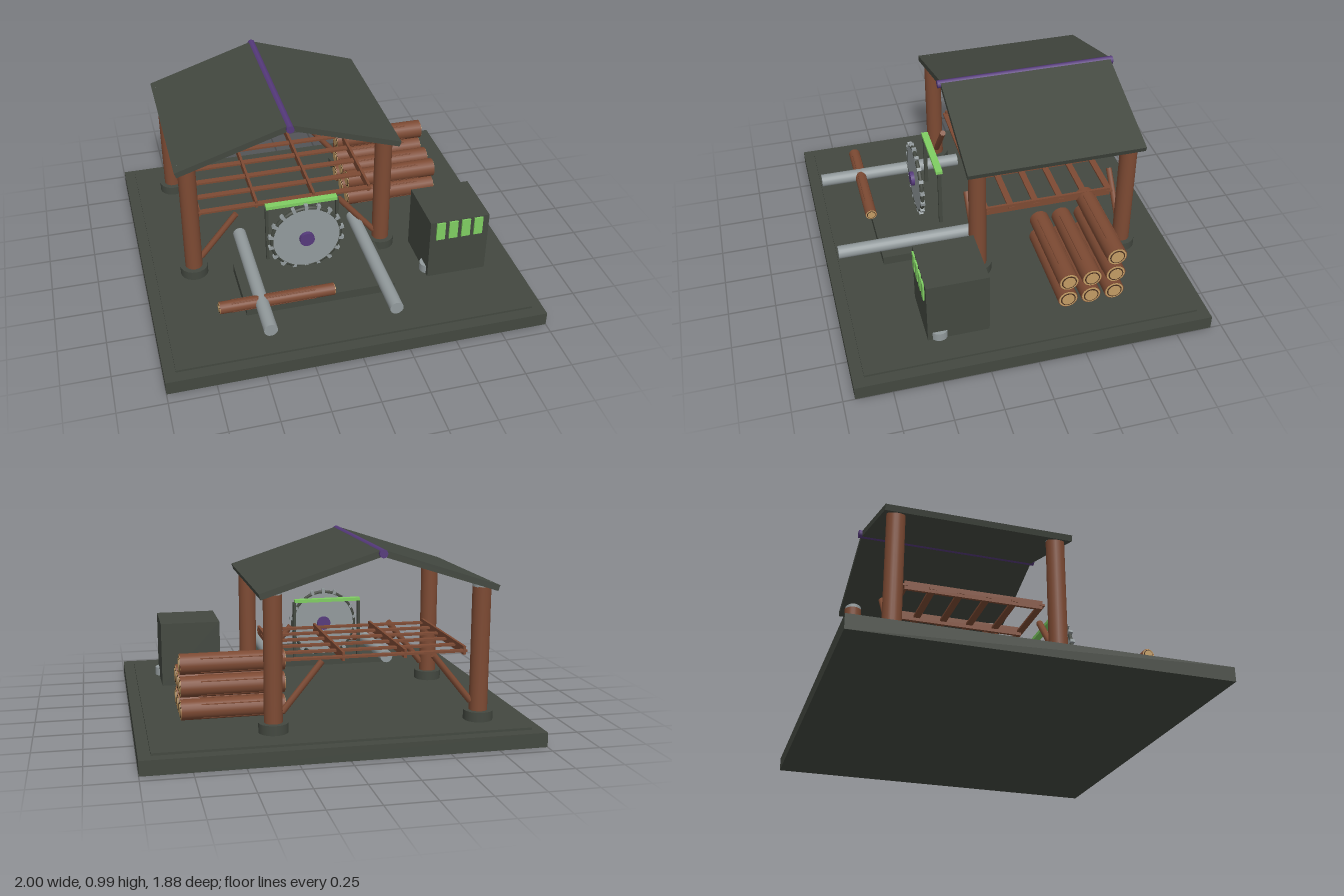
import * as THREE from 'three';

export function createModel() {
  const root = new THREE.Group();
  const mat = (name, color) => {
    const m = new THREE.MeshStandardMaterial({ color });
    m.name = name;
    return m;
  };
  const slate = mat('slate', 0x434840), timber = mat('timber', 0x7d4a33), steel = mat('steel', 0x929a9c);
  const green = mat('green', 0x7fce62), purple = mat('purple', 0x563a7c), cutWood = mat('cut wood', 0xc29c64);
  const bark = mat('bark', 0x4a3020);

  const add = (name, geo, material, x, y, z, parent = root) => {
    const m = new THREE.Mesh(geo, material);
    m.name = name;
    m.position.set(x, y, z);
    parent.add(m);
    return m;
  };
  // box from its lower and upper corners
  const box = (name, material, [x0, y0, z0], [x1, y1, z1], parent) =>
    add(name, new THREE.BoxGeometry(x1 - x0, y1 - y0, z1 - z0), material,
      (x0 + x1) / 2, (y0 + y1) / 2, (z0 + z1) / 2, parent);
  // round bar between two points
  const rod = (name, material, a, b, r, sides = 16, parent = root) => {
    const p = new THREE.Vector3(...a), q = new THREE.Vector3(...b);
    const d = q.clone().sub(p);
    const m = add(name, new THREE.CylinderGeometry(r, r, d.length(), sides), material, 0, 0, 0, parent);
    m.position.copy(p).add(q).multiplyScalar(0.5);
    m.quaternion.setFromUnitVectors(new THREE.Vector3(0, 1, 0), d.normalize());
    return m;
  };

  // Stepped ground slab
  box('slab', slate, [-1, 0, -0.94], [1, 0.075, 0.94]);
  box('slabTop', slate, [-0.94, 0.075, -0.88], [0.94, 0.087, 0.88]);

  // Four posts with footings, caps and braces leaning inward
  for (const [x, s] of [[-0.73, 1], [0.33, -1]]) {
    for (const z of [0.148, -0.678]) {
      rod('footing', slate, [x, 0.087, z], [x, 0.137, z], 0.075, 20);
      rod('post', timber, [x, 0.137, z], [x, 0.776, z], 0.047, 20);
      rod('postCap', steel, [x, 0.774, z], [x, 0.795, z], 0.047, 20);
      rod('brace', timber, [x + s * 0.045, 0.185, z], [x + s * 0.245, 0.432, z], 0.017, 8);
    }
  }

  // Gabled roof and ridge bar
  const gable = new THREE.Shape([[-0.8, 0.787], [-0.79, 0.758], [-0.197, 0.948], [0.397, 0.758],
    [0.407, 0.787], [-0.197, 0.982]].map(p => new THREE.Vector2(...p)));
  add('roof', new THREE.ExtrudeGeometry(gable, { depth: 0.96, bevelEnabled: false }), slate, 0, 0, -0.745);
  rod('ridgeBar', purple, [-0.197, 0.963, -0.762], [-0.197, 0.963, 0.232], 0.022, 8);

  // Open rack between the posts: rails pierced by flat slats
  for (const x of [-0.675, -0.36, -0.04, 0.275])
    box('rackRail', timber, [x - 0.007, 0.408, -0.612], [x + 0.007, 0.453, 0.09]);
  for (let i = 0; i < 6; i++) {
    const z = 0.085 - i * 0.139;
    box('rackSlat', timber, [-0.685, 0.425, z - 0.017], [0.285, 0.436, z + 0.017]);
  }

  // Log lying along x, with ringed cut ends and bark strips
  const log = (name, x0, x1, y, z, r) => {
    const g = new THREE.Group();
    g.name = name;
    root.add(g);
    rod('logBody', timber, [x0, y, z], [x1, y, z], r, 18, g);
    for (const [x, s] of [[x0, -1], [x1, 1]]) {
      rod('cutEnd', cutWood, [x, y, z], [x + s * 0.002, y, z], r * 0.93, 18, g);
      rod('growthRing', bark, [x, y, z], [x + s * 0.004, y, z], r * 0.76, 18, g);
      rod('heartwood', cutWood, [x, y, z], [x + s * 0.006, y, z], r * 0.64, 18, g);
    }
    for (const a of [0.5, 2.2, 3.9, 5.4]) {
      const cy = y + Math.cos(a) * (r - 0.002), cz = z + Math.sin(a) * (r - 0.002);
      rod('barkStrip', timber, [x0 + 0.06, cy, cz], [x1 - 0.1, cy, cz], 0.004, 6, g);
    }
  };
  for (const y of [0.165, 0.283])
    for (const z of [-0.225, -0.35, -0.478]) log('stackedLog', 0.24, 0.765, y, z, 0.053);
  log('stackedLog', 0.24, 0.765, 0.4, -0.478, 0.053);
  log('feedLog', -0.675, -0.08, 0.243, 0.657, 0.032);

  // Feed rails and saw bed
  for (const x of [-0.46, 0.187]) rod('feedRail', steel, [x, 0.243, 0.075], [x, 0.243, 0.882], 0.035, 20);
  box('sawBed', slate, [-0.537, 0.157, 0.288], [0.252, 0.207, 0.652]);

  // Circular saw
  const saw = new THREE.Group();
  saw.name = 'circularSaw';
  saw.position.set(-0.157, 0.39, 0.383);
  root.add(saw);
  rod('blade', steel, [0, 0, -0.009], [0, 0, 0.009], 0.182, 40, saw);
  add('bladeRim', new THREE.TorusGeometry(0.184, 0.011, 8, 40), slate, 0, 0, 0, saw);
  for (let i = 0; i < 18; i++) {
    const a = Math.PI / 2 + i * Math.PI / 9;
    const t = add('tooth', new THREE.BoxGeometry(0.026, 0.018, 0.024), steel,
      Math.cos(a) * 0.193, Math.sin(a) * 0.193, 0, saw);
    t.rotation.z = a;
  }
  rod('hub', purple, [0, 0, -0.02], [0, 0, 0.03], 0.04, 16, saw);

  // Saw frame
  for (const x of [-0.346, 0.036]) box('frameUpright', slate, [x - 0.008, 0.207, 0.275], [x + 0.008, 0.538, 0.295]);
  box('frameBar', green, [-0.35, 0.537, 0.265], [0.035, 0.555, 0.302]);

  // Power cabinet with lit panels and round feet
  box('cabinet', slate, [0.48, 0.105, 0.208], [0.808, 0.46, 0.53]);
  for (let i = 0; i < 4; i++) {
    const x = 0.537 + i * 0.07;
    box('cabinetPanel', green, [x - 0.024, 0.35, 0.53], [x + 0.024, 0.455, 0.539]);
  }
  for (const x of [0.503, 0.785]) rod('cabinetFoot', steel, [x, 0.107, 0.467], [x, 0.153, 0.467], 0.045, 20);

  return root;
}
